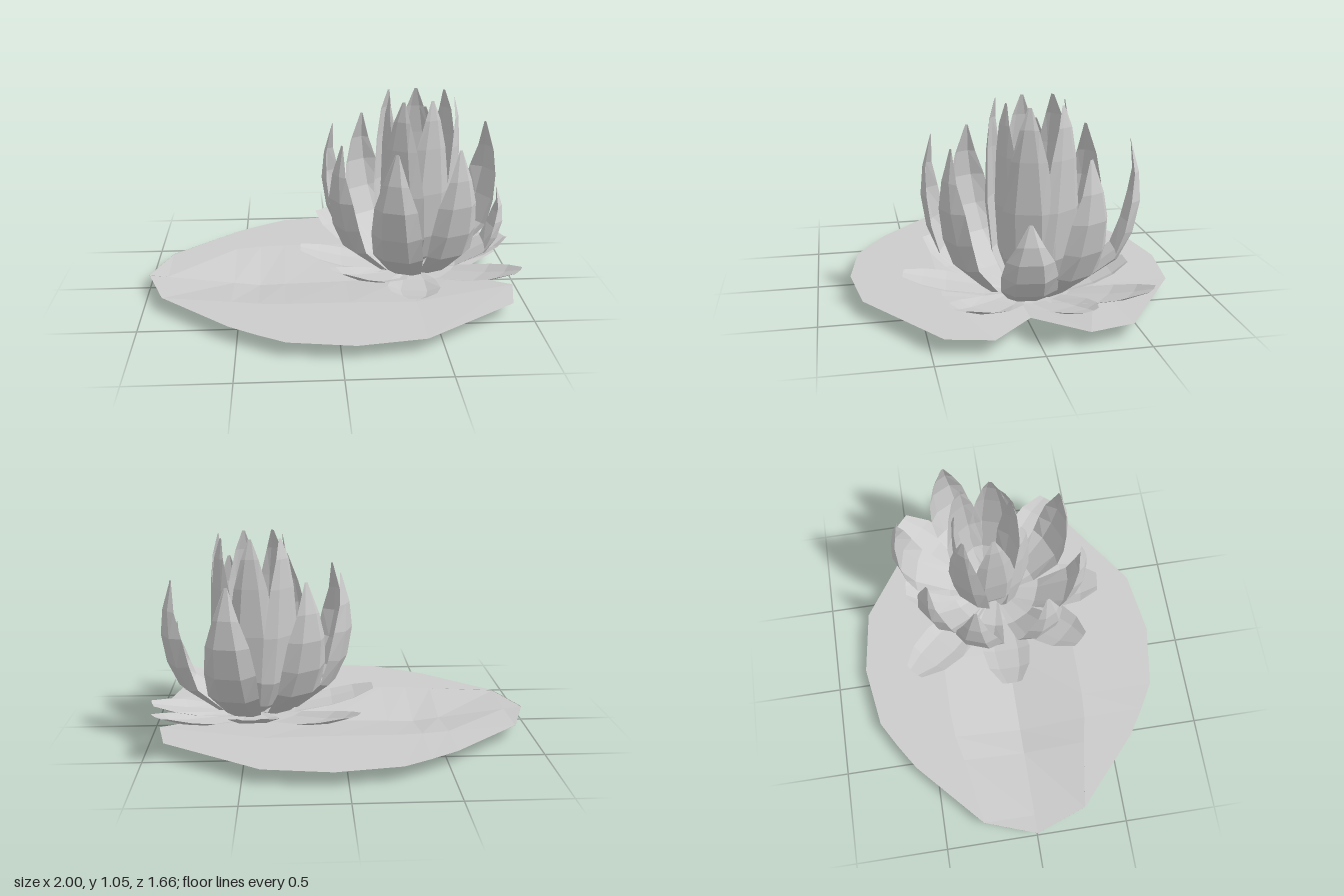
import * as THREE from 'three';

const material = new THREE.MeshStandardMaterial({ color: 0xcccccc, flatShading: true, side: THREE.DoubleSide });

// Open sheet skinned over rows of equally many [x, y, z] points
function sheet(name, rows) {
  const n = rows[0].length, index = [];
  for (let i = 0; i < rows.length - 1; i++) {
    for (let j = 0; j < n - 1; j++) {
      const a = i * n + j, b = a + n;
      index.push(a, b, a + 1, b, b + 1, a + 1);
    }
  }
  const indexed = new THREE.BufferGeometry();
  indexed.setAttribute('position', new THREE.Float32BufferAttribute(rows.flat(2), 3));
  indexed.setIndex(index);
  const geometry = indexed.toNonIndexed();
  geometry.computeVertexNormals();
  const mesh = new THREE.Mesh(geometry, material);
  mesh.name = name;
  return mesh;
}

// Petal along a profile of [radius, height, half width, cup depth],
// bent towards the inside and aimed along the direction (dx, dz)
function petal(name, profile, dx, dz, reach, rise) {
  const len = Math.hypot(dx, dz), cx = dx / len, cz = dz / len;
  const pts = profile.map(([r, y, w, c]) => [r * reach, 0.09 + (y - 0.09) * rise, w, c]);
  const rows = pts.map(([r, y, w, cup], i) => {
    const p = pts[Math.max(i - 1, 0)], q = pts[Math.min(i + 1, pts.length - 1)];
    const l = Math.hypot(q[0] - p[0], q[1] - p[1]);
    const nr = -(q[1] - p[1]) / l, ny = (q[0] - p[0]) / l;
    return [-1, -0.5, 0.5, 1].map(u => {
      const rr = r + nr * cup * u * u, t = u * w;
      return [rr * cx - t * cz, y + ny * cup * u * u, rr * cz + t * cx];
    });
  });
  return sheet(name, rows);
}

const INNER = [[0.02, 0.09, 0.03, 0], [0.13, 0.16, 0.09, 0.02], [0.2, 0.3, 0.125, 0.04],
  [0.235, 0.55, 0.125, 0.05], [0.23, 0.8, 0.085, 0.03], [0.215, 0.95, 0.045, 0.01], [0.19, 1.05, 0.008, 0]];
const MIDDLE = [[0.04, 0.09, 0.03, 0], [0.25, 0.14, 0.09, 0.02], [0.43, 0.28, 0.13, 0.04],
  [0.5, 0.42, 0.13, 0.06], [0.53, 0.58, 0.11, 0.06], [0.515, 0.72, 0.065, 0.03], [0.47, 0.87, 0.008, 0]];
const LOWER = [[0.04, 0.09, 0.03, 0], [0.2, 0.095, 0.11, 0.015], [0.4, 0.13, 0.135, 0.03],
  [0.52, 0.17, 0.115, 0.025], [0.62, 0.22, 0.055, 0.01]];

export function createModel() {
  const model = new THREE.Group();
  model.name = 'waterLily';

  // Floating leaf: [x, outer half width, inner half width, keel height]
  const stations = [[-1, 0, 0, 0.075], [-0.9, 0.28, 0.28, 0.063], [-0.54, 0.61, 0.34, 0.018],
    [-0.4, 0.7, 0.37, 0], [-0.26, 0.78, 0.38, 0.004], [0.07, 0.83, 0.38, 0.012], [0.41, 0.78, 0.39, 0.025]];
  const rows = stations.map(([x, o, i, k]) =>
    [[x, 0.075, -o], [x, 0.073, -i], [x, k, 0], [x, 0.073, i], [x, 0.075, o]]);
  // Two lobes with a notch between them
  rows.push([[0.9, 0.075, -0.44], [0.95, 0.075, -0.22], [0.68, 0.042, 0], [0.95, 0.075, 0.22], [0.9, 0.075, 0.44]]);
  model.add(sheet('leafPad', rows));

  const flower = new THREE.Group();
  flower.name = 'flower';
  flower.position.set(0.45, 0, -0.01);
  model.add(flower);

  // Spreading lower petals: direction, reach, rise
  for (const p of [[-0.51, -0.56, 1.17, 1.1], [0.48, -0.53, 1.1, 1.1], [0.54, -0.19, 0.91, 0.75], [0.49, 0.4, 1, 1],
    [-0.08, 0.58, 0.96, 0.7], [-0.46, 0.43, 0.99, 1.25], [-0.62, 0, 1.01, 0.9], [0.02, -0.55, 0.85, 1]]) {
    flower.add(petal('lowerPetal', LOWER, ...p));
  }

  // Upright middle petals
  for (const p of [[-0.47, -0.17, 1, 1], [-0.27, -0.39, 0.99, 1], [0.11, -0.48, 1.08, 1], [0.43, -0.23, 0.98, 0.98],
    [0.45, 0.06, 0.9, 0.62], [0.16, 0.38, 0.86, 1], [-0.16, 0.42, 0.97, 1], [-0.45, 0.23, 0.99, 0.98]]) {
    flower.add(petal('middlePetal', MIDDLE, ...p));
  }

  // Closed inner cup
  const cup = new THREE.Group();
  cup.name = 'innerCup';
  cup.position.set(0, 0, -0.045);
  for (let i = 0; i < 7; i++) {
    const a = 0.3 + i * Math.PI * 2 / 7;
    cup.add(petal('innerPetal', INNER, Math.cos(a), Math.sin(a), i % 2 ? 0.8 : 1, 1));
  }
  flower.add(cup);
  return model;
}
